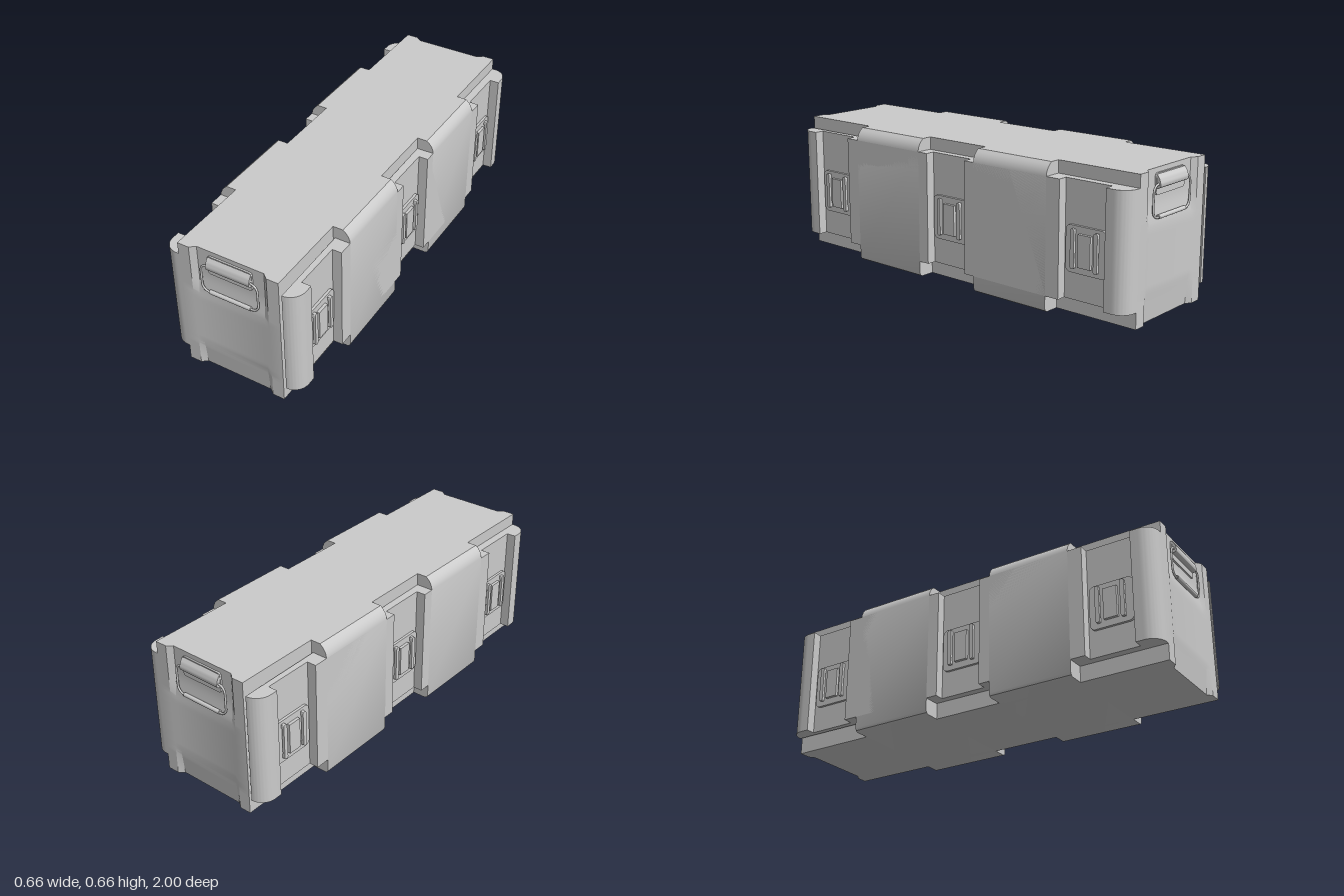
import * as THREE from 'three';
import { toCreasedNormals } from 'three/addons/utils/BufferGeometryUtils.js';

const H = 0.66, END = 0.993, LOW = 0.075, HIGH = 0.602;
const material = new THREE.MeshStandardMaterial({ color: 0xcccccc });

function add(parent, name, geometry, x = 0, y = 0, z = 0) {
  const mesh = new THREE.Mesh(geometry, material);
  mesh.name = name;
  mesh.position.set(x, y, z);
  parent.add(mesh);
  return mesh;
}

const polygon = (pts) => new THREE.Shape(pts.map(([x, y]) => new THREE.Vector2(x, y)));

function extrude(shape, depth, steps = 1) {
  return new THREE.ExtrudeGeometry(shape, { depth, steps, bevelEnabled: false, curveSegments: 8 });
}

function roundedRect(w, h, r) {
  const s = new THREE.Shape(), a = w / 2, b = h / 2;
  s.absarc(a - r, b - r, r, 0, Math.PI / 2);
  s.absarc(-a + r, b - r, r, Math.PI / 2, Math.PI);
  s.absarc(-a + r, -b + r, r, Math.PI, Math.PI * 1.5);
  s.absarc(a - r, -b + r, r, Math.PI * 1.5, Math.PI * 2);
  s.closePath();
  return s;
}

// Central block: full height, end panels sink in near the top and bottom
function coreGeometry() {
  const base = 0.006;
  const half = [[-0.247, END], [-0.19, END], [-0.165, END - base], [0.165, END - base], [0.19, END], [0.247, END]];
  const outline = [...half, ...half.map(([x, z]) => [-x, -z])];
  const g = extrude(polygon(outline), H, 44).rotateX(-Math.PI / 2);
  const p = g.attributes.position;
  for (let i = 0; i < p.count; i++) {
    if (Math.abs(p.getX(i)) > 0.17) continue;
    const y = p.getY(i);
    const inset = base + 0.015 * THREE.MathUtils.smoothstep(y, 0.39, 0.53)
      + 0.014 * THREE.MathUtils.clamp((0.15 - y) / 0.15, 0, 1);
    p.setZ(i, Math.sign(p.getZ(i)) * (END - inset));
  }
  return toCreasedNormals(g, 0.35);
}

// Side wall: rounded corner posts and three latch recesses
function sideWallGeometry() {
  const s = new THREE.Shape(), out = 0.33, inn = 0.285, r = 0.07;
  s.moveTo(0.24, -END);
  s.absarc(out - r, -END + r, r, -Math.PI / 2, 0);
  for (const [a, b] of [[-0.885, -0.65], [-0.115, 0.115], [0.65, 0.885]]) {
    s.lineTo(out, a);
    s.lineTo(inn, a);
    s.lineTo(inn, b);
    s.lineTo(out, b);
  }
  s.absarc(out - r, END - r, r, 0, Math.PI / 2);
  s.lineTo(0.24, END);
  return toCreasedNormals(extrude(s, HIGH - LOW, 1).rotateX(-Math.PI / 2), 0.5);
}

// Full-height band with softened long edges
function bandGeometry() {
  const right = [[0.315, 0], [0.325, 0.006], [0.33, 0.018], [0.33, 0.602], [0.327, 0.618], [0.32, 0.634],
    [0.309, 0.648], [0.295, H]];
  const left = right.map(([x, y]) => [-x, y]).reverse();
  return toCreasedNormals(extrude(polygon([...right, ...left]), 0.41), 0.6);
}

// Latch, built facing +z
function makeLatch() {
  const latch = new THREE.Group();
  latch.name = 'latch';
  add(latch, 'latchPlate', extrude(roundedRect(0.21, 0.208, 0.025), 0.012));
  add(latch, 'latchTongue', new THREE.BoxGeometry(0.065, 0.145, 0.026), 0, 0, 0.013);
  for (const s of [-1, 1]) {
    add(latch, 'latchBar', extrude(roundedRect(0.02, 0.175, 0.009), 0.012), s * 0.06, 0.005, 0.017);
    for (const e of [-1, 1])
      add(latch, 'latchBarFoot', new THREE.BoxGeometry(0.016, 0.02, 0.02), s * 0.06, 0.005 + e * 0.075, 0.012);
  }
  return latch;
}

// Carrying handle, built facing +z
function makeHandle() {
  const handle = new THREE.Group();
  handle.name = 'carryHandle';
  add(handle, 'handlePlate', extrude(roundedRect(0.218, 0.094, 0.014), 0.01), 0, 0.591, -0.003);

  // Hood that wraps over the top of the handle loop
  const hood = new THREE.Shape();
  hood.moveTo(0, 0.572);
  hood.lineTo(0.015, 0.574);
  hood.quadraticCurveTo(0.028, 0.578, 0.027, 0.59);
  hood.quadraticCurveTo(0.024, 0.618, 0.006, 0.634);
  hood.lineTo(0, 0.634);
  const hoodGeo = extrude(hood, 0.214).rotateY(-Math.PI / 2).translate(0.107, 0, 0);
  add(handle, 'handleHood', toCreasedNormals(hoodGeo, 0.6));

  const pts = roundedRect(0.28, 0.142, 0.034).getPoints(6)
    .map((p) => new THREE.Vector3(p.x, p.y, 0));
  if (pts[0].distanceTo(pts[pts.length - 1]) < 1e-5) pts.pop();
  const loop = new THREE.CatmullRomCurve3(pts, true, 'centripetal');
  add(handle, 'handleLoop', new THREE.TubeGeometry(loop, 96, 0.005, 8, true), 0, 0.522, 0.016);
  const grip = add(handle, 'handleGrip', new THREE.CylinderGeometry(0.0095, 0.0095, 0.204, 16), 0, 0.453, 0.016);
  grip.rotation.z = Math.PI / 2;
  return handle;
}

export function createModel() {
  const crate = new THREE.Group();
  crate.name = 'storageCase';
  add(crate, 'core', coreGeometry());

  const band = bandGeometry();
  add(crate, 'frontBand', band, 0, 0, 0.17);
  add(crate, 'rearBand', band, 0, 0, -0.58);

  // Each side is the same half turned about the vertical axis
  const wall = sideWallGeometry();
  for (const [name, turn] of [['leftSide', 0], ['rightSide', Math.PI]]) {
    const side = new THREE.Group();
    side.name = name;
    side.rotation.y = turn;
    add(side, 'sideWall', wall, 0, LOW, 0);
    for (const z of [-0.767, 0, 0.767]) {
      const latch = makeLatch();
      latch.position.set(0.285, 0.303, z);
      latch.rotation.y = Math.PI / 2;
      side.add(latch);
    }
    crate.add(side);
  }

  for (const turn of [0, Math.PI]) {
    const end = new THREE.Group();
    end.name = turn ? 'rearEnd' : 'frontEnd';
    end.rotation.y = turn;
    const handle = makeHandle();
    handle.position.z = END - 0.02;
    end.add(handle);
    crate.add(end);
  }
  return crate;
}
